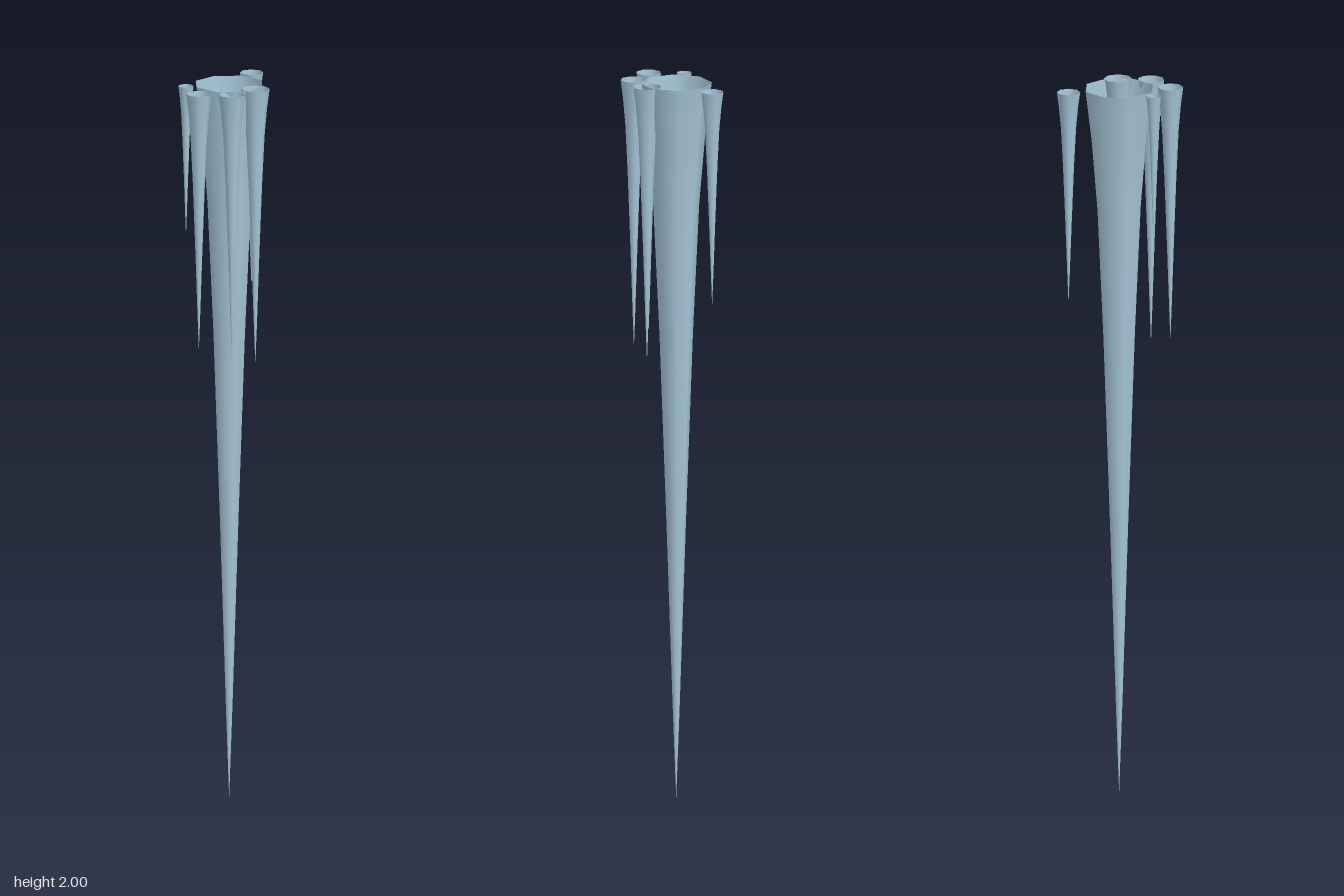
import * as THREE from 'three';

// Shared taper as [height fraction from tip, radius fraction], flaring at the root
const TAPER = [[0, 0], [0.13, 0.1], [0.38, 0.27], [0.65, 0.47], [0.83, 0.645], [0.93, 0.82], [1, 1]];
const TOP = 2;

// name, x, z, root radius, tip height, twist in degrees
const ICICLES = [
  ['mainIcicle', 0.007, -0.016, 0.097, 0, -2],
  ['rightBackIcicle', -0.108, -0.048, 0.021, 1.58, 12],
  ['leftBackIcicle', 0.119, -0.104, 0.032, 1.4, 22],
  ['rightIcicle', -0.117, 0.048, 0.035, 1.28, 22],
  ['frontRightIcicle', -0.04, 0.095, 0.037, 1.25, 8],
  ['frontLeftIcicle', 0.045, 0.067, 0.039, 1.23, 22],
];

export function createModel() {
  const ice = new THREE.MeshStandardMaterial({ color: 0xa6c6d8, side: THREE.DoubleSide });
  ice.name = 'paleBlueIce';
  const group = new THREE.Group();
  group.name = 'icicleCluster';

  // Eight-sided hollow cones, open at the root
  for (const [name, x, z, radius, tip, twist] of ICICLES) {
    const profile = TAPER.map(([t, r]) => new THREE.Vector2(r * radius, t * (TOP - tip)));
    const icicle = new THREE.Mesh(new THREE.LatheGeometry(profile, 8), ice);
    icicle.name = name;
    icicle.position.set(x, tip, z);
    icicle.rotation.y = THREE.MathUtils.degToRad(twist);
    group.add(icicle);
  }
  return group;
}
